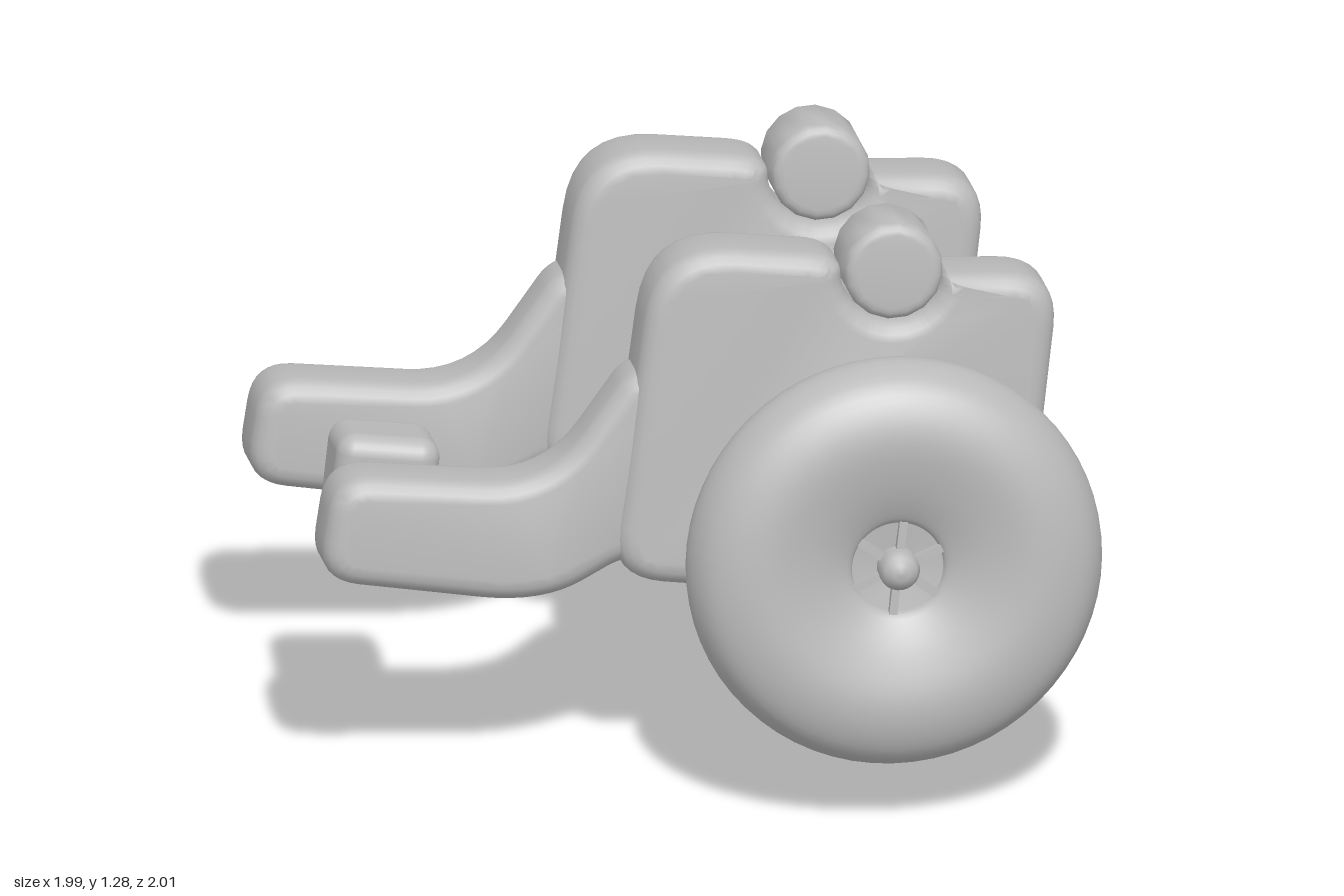
import * as THREE from 'three';
import { toCreasedNormals } from 'three/addons/utils/BufferGeometryUtils.js';
import { RoundedBoxGeometry } from 'three/addons/geometries/RoundedBoxGeometry.js';

const grey = new THREE.MeshStandardMaterial({ color: 0xbababa });
grey.name = 'plain grey';

function add(parent, name, geometry, x = 0, y = 0, z = 0) {
  const mesh = new THREE.Mesh(geometry, grey);
  mesh.name = name;
  mesh.position.set(x, y, z);
  parent.add(mesh);
  return mesh;
}

// Closed outline of [z, y, cornerRadius] points with softened corners
function softOutline(points) {
  const shape = new THREE.Shape();
  const n = points.length;
  const toward = (p, q) => {
    const d = Math.hypot(q[0] - p[0], q[1] - p[1]);
    const t = Math.min(p[2], d * 0.48) / d;
    return [p[0] + (q[0] - p[0]) * t, p[1] + (q[1] - p[1]) * t];
  };
  points.forEach((p, i) => {
    const a = toward(p, points[(i + n - 1) % n]);
    const b = toward(p, points[(i + 1) % n]);
    if (i === 0) shape.moveTo(...a);
    else shape.lineTo(...a);
    shape.quadraticCurveTo(p[0], p[1], ...b);
  });
  shape.closePath();
  return shape;
}

// Slab of a given width across x, with rounded edges
function slab(shape, width, bevel) {
  const g = new THREE.ExtrudeGeometry(shape, {
    depth: width - 2 * bevel, bevelEnabled: true, bevelThickness: bevel,
    bevelSize: bevel, bevelOffset: -bevel, bevelSegments: 4, curveSegments: 8,
  });
  g.translate(0, 0, -(width - 2 * bevel) / 2);
  g.rotateY(-Math.PI / 2);
  return toCreasedNormals(g, 0.8);
}

function bar(radius, length) {
  return new THREE.CylinderGeometry(radius, radius, length, 32).rotateZ(Math.PI / 2);
}

// Cheek plate with a round notch on top for the trunnion
const NOTCH = { z: -0.04, y: 0.6, r: 0.115 };
function cheekOutline() {
  const points = [[0.33, -0.14, 0.13], [0.33, 0.62, 0.13]];
  for (let i = 0; i <= 10; i++) {
    const t = -Math.PI * i / 10;
    points.push([NOTCH.z + NOTCH.r * Math.cos(t), NOTCH.y + NOTCH.r * Math.sin(t), 0.012]);
  }
  points.push([-0.19, 0.625, 0.05], [-0.57, 0.62, 0.18], [-0.585, -0.14, 0.12]);
  return softOutline(points);
}

// Tail arm that drops behind the cheek, levels out and widens toward its end
function tailArm() {
  const g = slab(softOutline([
    [-0.45, 0.36, 0.03], [-0.59, 0.33, 0.05], [-0.74, 0.06, 0.14], [-1.215, 0.05, 0.09],
    [-1.225, -0.19, 0.09], [-0.72, -0.21, 0.14], [-0.55, -0.09, 0.05], [-0.45, -0.09, 0.03],
  ]), 0.19, 0.045);
  const p = g.attributes.position;
  for (let i = 0; i < p.count; i++) {
    const t = THREE.MathUtils.smoothstep(-p.getZ(i), 0.6, 1.0);
    p.setX(i, p.getX(i) * (0.84 + 0.2 * t));
  }
  return g;
}

// Fat round tyre with a sunken hub, axis along x
function createWheel(side) {
  const wheel = new THREE.Group();
  wheel.name = 'wheel';
  const half = [[0.1, 0.055], [0.115, 0.075], [0.19, 0.108], [0.29, 0.13],
    [0.37, 0.117], [0.43, 0.076], [0.458, 0]];
  const section = [
    ...half.slice(0, -1).map(([r, h]) => new THREE.Vector2(r, -h)),
    ...half.slice().reverse().map(([r, h]) => new THREE.Vector2(r, h)),
  ];
  const curve = new THREE.SplineCurve(section).getPoints(48);
  const profile = [new THREE.Vector2(0, -0.045), ...curve, new THREE.Vector2(0, 0.045)];
  add(wheel, 'tyre', new THREE.LatheGeometry(profile, 64).rotateZ(Math.PI / 2));

  // Hub cap and short spokes in the recess
  const cap = [[0.045, 0], [0.045, 0.085], [0.035, 0.105], [0.018, 0.115], [0, 0.117]]
    .map(([r, h]) => new THREE.Vector2(r, h));
  add(wheel, 'hubCap', new THREE.LatheGeometry(cap, 24).rotateZ(-side * Math.PI / 2));
  for (let i = 0; i < 6; i++) {
    const t = i * Math.PI / 3;
    const spoke = add(wheel, 'spoke', new THREE.BoxGeometry(0.03, 0.07, 0.018),
      side * 0.055, 0.07 * Math.cos(t), 0.07 * Math.sin(t));
    spoke.rotation.x = t;
  }
  return wheel;
}

export function createModel() {
  const model = new THREE.Group();
  model.name = 'carriage';

  // Two sides, one set slightly ahead of the other
  const trunnionShape = new THREE.Shape().absarc(0, 0, 0.11, 0, Math.PI * 2);
  for (const side of [-1, 1]) {
    const half = new THREE.Group();
    half.name = 'sideAssembly';
    half.position.z = -side * 0.022;
    const x = side * 0.385;
    add(half, 'cheekPlate', slab(cheekOutline(), 0.2, 0.045), x);
    add(half, 'tailArm', tailArm(), x);
    add(half, 'trunnion', slab(trunnionShape, 0.19, 0.025), x, NOTCH.y, NOTCH.z);
    const wheel = createWheel(side);
    wheel.position.x = side * 0.65;
    half.add(wheel);
    model.add(half);
  }

  // Cross members between the cheeks
  add(model, 'axle', bar(0.065, 1.3));
  add(model, 'frontBar', bar(0.076, 0.7), 0, 0.06, 0.105);
  add(model, 'crossBeam', new RoundedBoxGeometry(0.7, 0.31, 0.26, 4, 0.05), 0, 0.15, -0.24);
  add(model, 'beamBlock', new RoundedBoxGeometry(0.25, 0.14, 0.1, 3, 0.03), 0, 0.07, -0.36);

  // Small block beside one tail arm
  add(model, 'tailBlock', new RoundedBoxGeometry(0.19, 0.24, 0.23, 4, 0.045), -0.2, -0.025, -1.045);

  // Stand the carriage at its turned, tilted pose
  const across = new THREE.Vector3(0.645, -0.111, -0.756).normalize();
  const forward = across.clone().cross(new THREE.Vector3(0.17, 0.985, 0)).normalize();
  const up = forward.clone().cross(across);
  const pose = new THREE.Matrix4().makeBasis(across, up, forward);
  model.quaternion.setFromRotationMatrix(pose);
  model.position.set(0.225, 0.53, 0.14);

  const root = new THREE.Group();
  root.name = 'model';
  root.add(model);
  return root;
}
